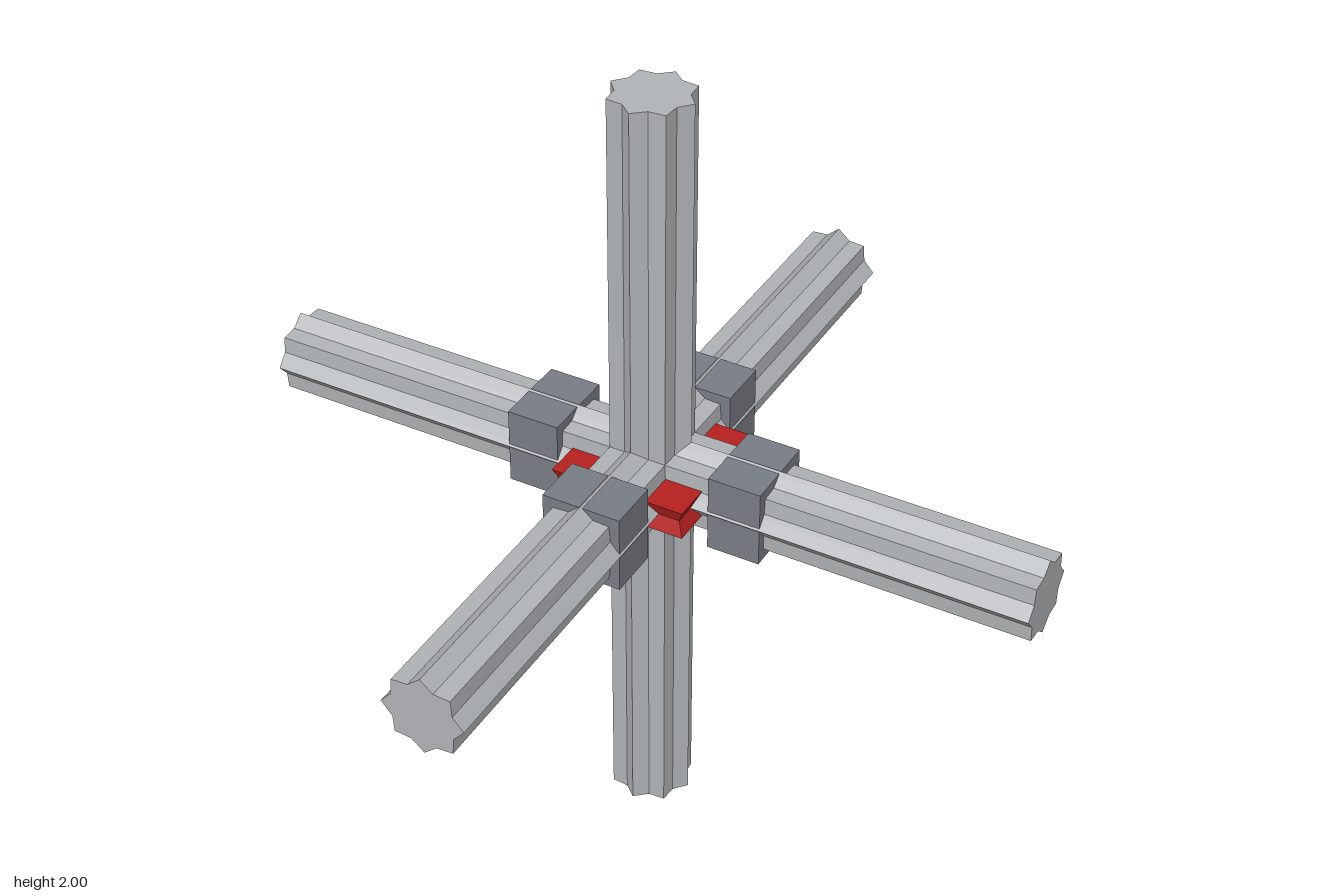
import * as THREE from 'three';

const STEEL = new THREE.MeshStandardMaterial({ color: 0xb0b3b6, flatShading: true });
STEEL.name = 'light steel';
const IRON = new THREE.MeshStandardMaterial({ color: 0x787c84, flatShading: true });
IRON.name = 'dark iron';
const RED = new THREE.MeshStandardMaterial({ color: 0xb52020, flatShading: true });
RED.name = 'red';

// Eight-pointed star profile with points on the axes
function starShape(outer, inner) {
  const pts = [];
  for (let i = 0; i < 16; i++) {
    const a = (i * Math.PI) / 8;
    const r = i % 2 ? inner : outer;
    pts.push(new THREE.Vector2(r * Math.cos(a), r * Math.sin(a)));
  }
  return new THREE.Shape(pts);
}

export function createModel() {
  const group = new THREE.Group();
  group.name = 'starBeamCross';

  const add = (name, geometry, material, x = 0, y = 1, z = 0) => {
    const mesh = new THREE.Mesh(geometry, material);
    mesh.name = name;
    mesh.position.set(x, y, z);
    group.add(mesh);
    return mesh;
  };

  // Three fluted beams crossing at the centre
  const beam = new THREE.ExtrudeGeometry(starShape(0.104, 0.083), { depth: 2, bevelEnabled: false });
  beam.translate(0, 0, -1);
  add('beamFrontBack', beam, STEEL);
  add('beamLeftRight', beam, STEEL).rotation.y = Math.PI / 2;
  add('beamUpright', beam, STEEL).rotation.x = -Math.PI / 2;

  // Square collars on the four horizontal arms
  const collar = new THREE.BoxGeometry(0.2, 0.2, 0.134);
  for (const s of [-1, 1]) {
    add(s > 0 ? 'collarFront' : 'collarBack', collar, IRON, 0, 1, s * 0.268);
    add(s > 0 ? 'collarLeft' : 'collarRight', collar, IRON, s * 0.268).rotation.y = Math.PI / 2;
  }

  // Central red block with a V groove round its sides
  const hub = new THREE.CylinderGeometry(0.173 * Math.SQRT2, 0.173 * Math.SQRT2, 0.072, 4, 2);
  hub.rotateY(Math.PI / 4);
  const p = hub.attributes.position;
  for (let i = 0; i < p.count; i++) {
    if (Math.abs(p.getY(i)) < 0.01) p.setXYZ(i, p.getX(i) * 0.91, 0, p.getZ(i) * 0.91);
  }
  hub.computeVertexNormals();
  add('hubBlock', hub, RED);

  return group;
}
